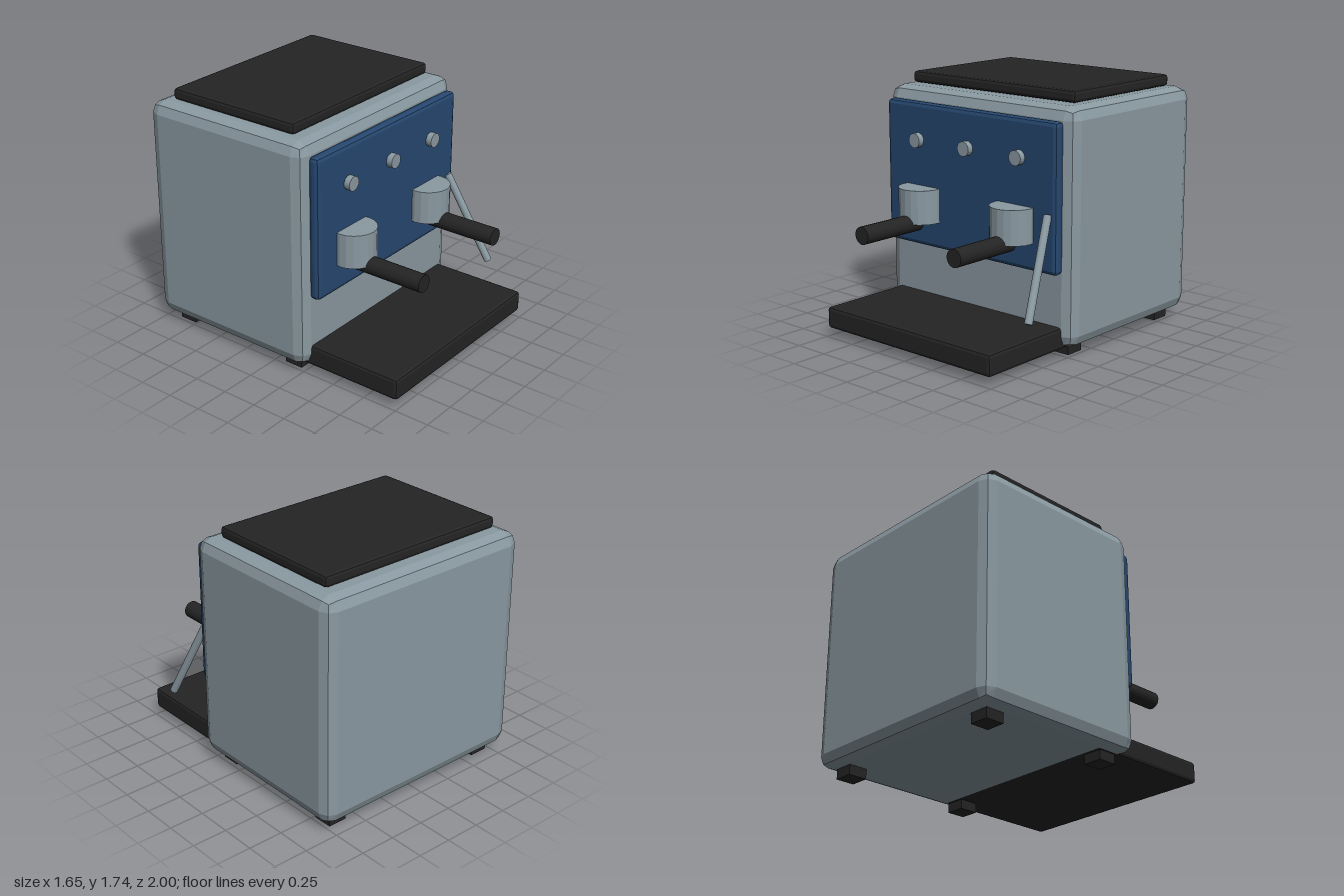
import * as THREE from 'three';
import { RoundedBoxGeometry } from 'three/addons/geometries/RoundedBoxGeometry.js';

const material = (name, color) => {
  const m = new THREE.MeshStandardMaterial({ color, flatShading: true });
  m.name = name;
  return m;
};

export function createModel() {
  const steel = material('steel', 0x8a99a1);
  const black = material('black', 0x242424);
  const blue = material('blue', 0x26476f);
  const model = new THREE.Group();
  model.name = 'espressoMachine';

  const add = (name, geometry, mat) => {
    const mesh = new THREE.Mesh(geometry, mat);
    mesh.name = name;
    model.add(mesh);
    return mesh;
  };

  // Box with chamfer-like rounded edges, given by its lower and upper corners
  const roundedBox = (name, mat, [x0, y0, z0], [x1, y1, z1], radius) =>
    add(name, new RoundedBoxGeometry(x1 - x0, y1 - y0, z1 - z0, 1, radius), mat)
      .position.set((x0 + x1) / 2, (y0 + y1) / 2, (z0 + z1) / 2);

  // Cylinder running between two points
  const rod = (name, mat, from, to, radius, sides = 20) => {
    const a = new THREE.Vector3(...from);
    const b = new THREE.Vector3(...to);
    const dir = b.clone().sub(a);
    const mesh = add(name, new THREE.CylinderGeometry(radius, radius, dir.length(), sides), mat);
    mesh.position.copy(a).add(b).multiplyScalar(0.5);
    mesh.quaternion.setFromUnitVectors(new THREE.Vector3(0, 1, 0), dir.normalize());
  };

  // Housing
  roundedBox('body', steel, [-0.825, 0.07, -1], [0.825, 1.655, 0.31], 0.085);
  roundedBox('frontPanel', blue, [-0.755, 0.575, 0.307], [0.755, 1.57, 0.387], 0.03);
  roundedBox('cupTray', black, [-0.72, 1.66, -0.86], [0.72, 1.74, 0.167], 0.022);
  roundedBox('dripTray', black, [-0.74, 0.065, 0.05], [0.74, 0.215, 1], 0.022);

  // Knobs
  for (const x of [-0.45, 0, 0.45]) {
    rod('knob', steel, [x, 1.315, 0.393], [x, 1.315, 0.436], 0.05);
  }

  for (const side of [-1, 1]) {
    // Brew heads with their handles
    const x = side * 0.415;
    rod('brewHead', steel, [x, 0.765, 0.41], [x, 1, 0.41], 0.155);
    rod('brewHandle', black, [x, 0.76, 0.45], [x, 0.76, 0.965], 0.061);

    // Feet
    for (const z of [0.14, -0.83]) {
      add('foot', new THREE.BoxGeometry(0.136, 0.09, 0.136), black)
        .position.set(side * 0.653, 0.045, z);
    }
  }

  // Steam wand
  rod('steamWand', steel, [0.688, 0.972, 0.39], [0.788, 0.345, 0.692], 0.027, 16);

  return model;
}
